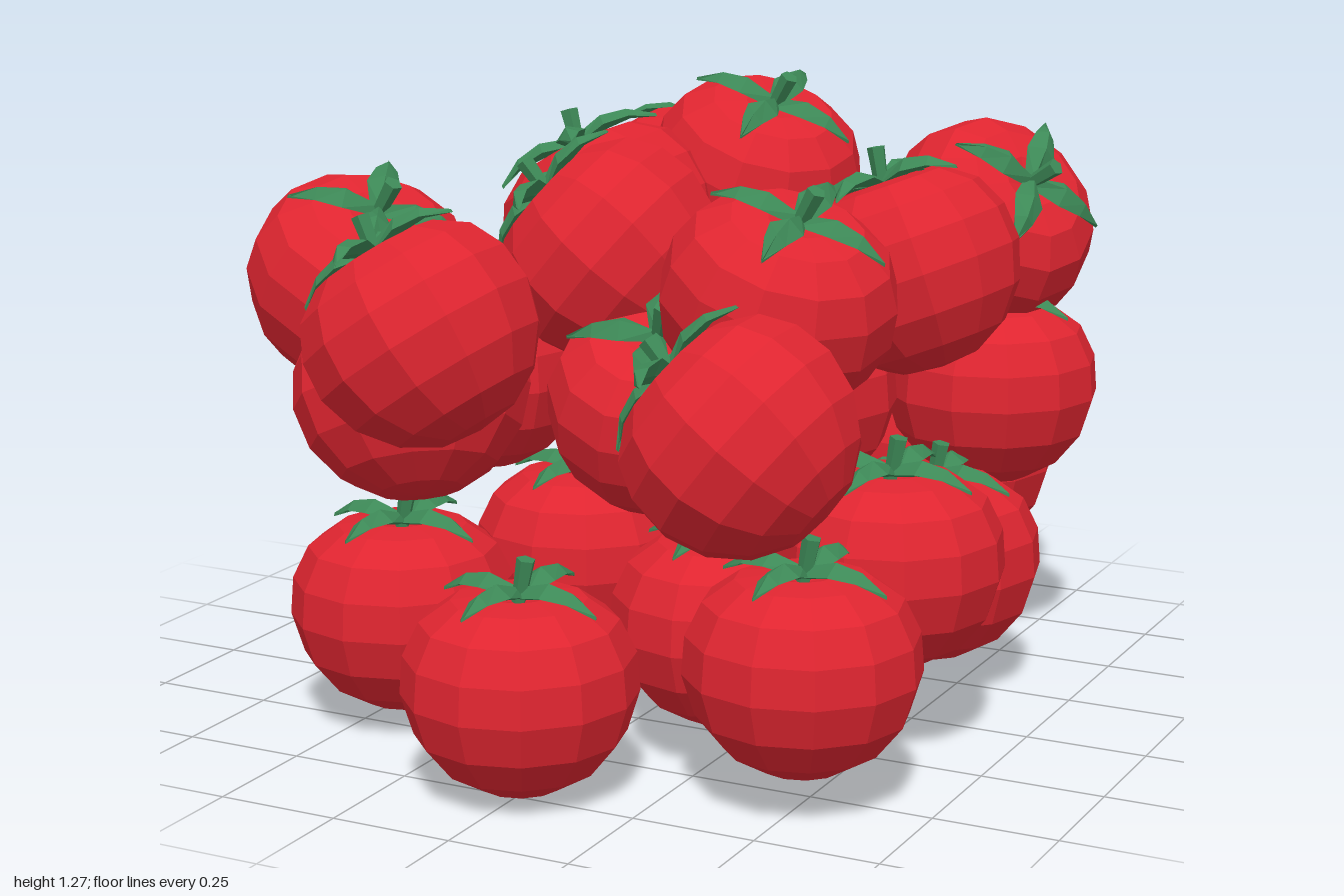
import * as THREE from 'three';

const red = new THREE.MeshStandardMaterial({ color: 0xdf2530, flatShading: true });
red.name = 'tomato red';
const green = new THREE.MeshStandardMaterial({ color: 0x3d8957, flatShading: true, side: THREE.DoubleSide });
green.name = 'leaf green';

// Squat fruit with a shallow dimple under the stem
function fruitGeometry() {
  const profile = [
    [0, -0.2], [0.08, -0.19], [0.15, -0.15], [0.203, -0.085], [0.228, -0.005],
    [0.222, 0.07], [0.19, 0.135], [0.13, 0.178], [0.06, 0.187], [0, 0.168],
  ].map(([r, y]) => new THREE.Vector2(r, y));
  return new THREE.LatheGeometry(profile, 12);
}

// Four pointed leaves, each a chain of diamond cross-sections
function leavesGeometry() {
  // distance out, height, half width, half thickness
  const sections = [[0.0, 0.188, 0.014, 0.012], [0.07, 0.203, 0.034, 0.016], [0.125, 0.197, 0.022, 0.011], [0.178, 0.172, 0.001, 0.001]];
  const positions = [];
  for (let leaf = 0; leaf < 4; leaf++) {
    const a = leaf * Math.PI / 2 + 0.12;
    const lift = leaf % 2 ? 0.012 : 0;
    const rings = sections.map(([r, y, w, t]) =>
      [[w, -0.006], [0, t], [-w, -0.006], [0, -t]].map(([side, up]) => [
        r * Math.cos(a) - side * Math.sin(a),
        y + up + lift * r / 0.178,
        r * Math.sin(a) + side * Math.cos(a),
      ]));
    for (let i = 0; i < rings.length - 1; i++) {
      for (let j = 0; j < 4; j++) {
        const k = (j + 1) % 4;
        const [p, q, r, s] = [rings[i][j], rings[i][k], rings[i + 1][k], rings[i + 1][j]];
        positions.push(...p, ...q, ...r, ...p, ...r, ...s);
      }
    }
  }
  const g = new THREE.BufferGeometry();
  g.setAttribute('position', new THREE.Float32BufferAttribute(positions, 3));
  g.computeVertexNormals();
  return g;
}

// Short stalk, leaning a little and wider at the cut end
function stemGeometry() {
  const g = new THREE.CylinderGeometry(0.019, 0.014, 0.09, 5);
  g.rotateZ(-0.2);
  g.translate(0.008, 0.213, 0);
  return g;
}

// Each entry: centre x, y, z, then optional stalk direction and spin
const bottomLayer = [
  [[0, 0.21, 0.73]],
  [[0.505, 0.27, 0.55]],
  [[0.53, 0.385, 0.2]],
  [[0.15, 0.2, 0.17]],
  [[0.45, 0.27, -0.22]],
  [[0.29, 0.36, -0.72]],
  [[-0.425, 0.235, 0.46]],
  [[-0.43, 0.36, -0.72]],
  [[-0.25, 0.26, 0.02]],
  [[-0.08, 0.39, -0.38]],
];
const middleLayer = [
  [[0.47, 0.59, -0.49]],
  [[0.06, 0.58, -0.775]],
  [[0.14, 0.7, 0.4], [0.15, 0.85, 0.45], 0.4],
  [[0.22, 0.65, 0.02]],
  [[-0.27, 0.74, 0.66], [-0.3, 0.85, -0.35], 0.5],
  [[-0.43, 0.66, 0.12]],
  [[-0.46, 0.61, -0.36]],
  [[0.455, 0.735, 0.7], [-0.76, 0.6, 0.05], 0.3],
];
const topLayer = [
  [[-0.17, 0.88, 0.77], [-0.55, 0.8, 0.03], 0.3],
  [[0.39, 0.93, 0.43], [0.33, 0.9, 0.2], 0.2],
  [[0.465, 0.92, -0.04], [-0.36, 0.92, 0]],
  [[0.43, 0.93, -0.53], [0.68, 0.62, 0.35], 0.5],
  [[-0.02, 0.97, 0.3], [-0.75, 0.65, 0.15], 0.3],
  [[-0.01, 1.035, -0.31], [0.35, 0.9, 0.22], 0.2],
  [[-0.32, 0.92, -0.64], [-0.12, 0.9, -0.4], 0.7],
  [[-0.53, 0.89, 0.43], [0.4, 0.85, 0.25], 0.6],
  [[-0.21, 0.96, -0.05], [-0.45, 0.87, 0.03], 0.6],
];

export function createModel() {
  const model = new THREE.Group();
  model.name = 'tomatoPile';
  const parts = [
    ['fruit', fruitGeometry(), red],
    ['leaves', leavesGeometry(), green],
    ['stem', stemGeometry(), green],
  ];
  const up = new THREE.Vector3(0, 1, 0);
  const layers = { bottomLayer, middleLayer, topLayer };

  for (const [layerName, tomatoes] of Object.entries(layers)) {
    const layer = new THREE.Group();
    layer.name = layerName;
    for (const [centre, direction = [0, 1, 0], spin = 0] of tomatoes) {
      const tomato = new THREE.Group();
      tomato.name = 'tomato';
      for (const [name, geometry, material] of parts) {
        const mesh = new THREE.Mesh(geometry, material);
        mesh.name = name;
        tomato.add(mesh);
      }
      tomato.position.set(...centre);
      tomato.quaternion.setFromUnitVectors(up, new THREE.Vector3(...direction).normalize());
      tomato.rotateY(spin);
      layer.add(tomato);
    }
    model.add(layer);
  }
  return model;
}
